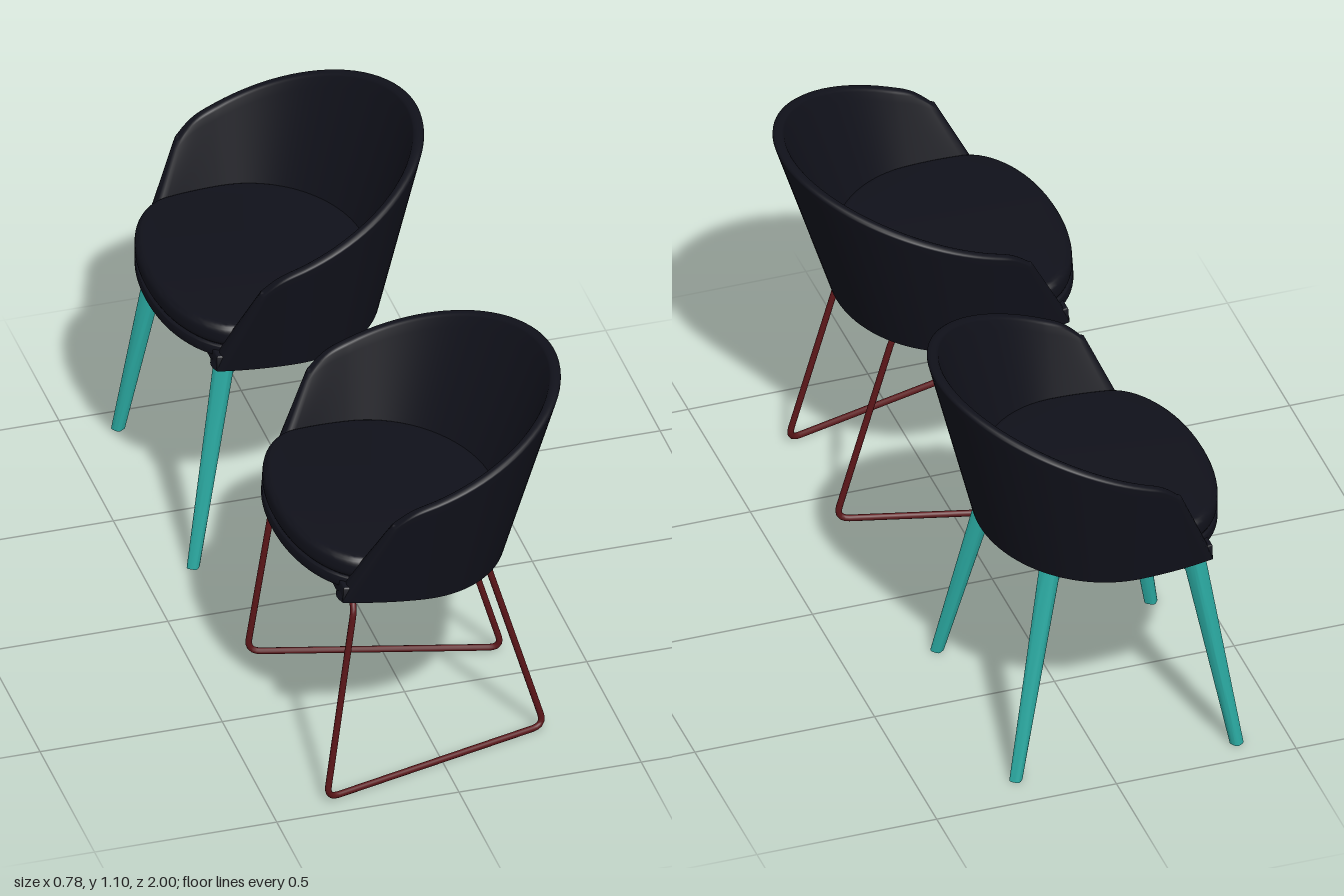
import * as THREE from 'three';
import { toCreasedNormals } from 'three/addons/utils/BufferGeometryUtils.js';

const fabric = new THREE.MeshStandardMaterial({ color: 0x10111a, side: THREE.DoubleSide });
const teal = new THREE.MeshStandardMaterial({ color: 0x2aa8a0 });
const red = new THREE.MeshStandardMaterial({ color: 0x5a1518 });
const BASE = 0.605, CX = -0.08;
const lerp = THREE.MathUtils.lerp;

function mesh(name, geometry, material) {
  const m = new THREE.Mesh(geometry, material);
  m.name = name;
  return m;
}

// Point on the shell: p runs from the back (0) to the front edge (±1), h is height, inset goes inwards
function shellPoint(p, h, inset) {
  const q = Math.abs(p), w = 0.37 + 0.08 * h;
  let x, z;
  if (q < 0.7) {
    const phi = (q / 0.7) * Math.PI / 2;
    x = CX + (0.315 + 0.125 * h - inset) * Math.cos(phi);
    z = (w - inset) * Math.sin(phi);
  } else {
    x = lerp(CX, -0.295 + 0.22 * h, (q - 0.7) / 0.3);
    z = w * (1 - 1.46 * (CX - x) ** 2) - inset;
  }
  return [x, BASE + 0.5 * h, Math.sign(p) * z];
}

// Height of the sloping rim, rounded off towards the arm fronts
function rimHeight(p) {
  let h = 0.8;
  for (let i = 0; i < 12; i++) h = (1.105 - 0.4 * (0.36 - shellPoint(p, h, 0)[0]) - BASE) / 0.5;
  const t = Math.max(0, (Math.abs(p) - 0.7) / 0.3);
  return h - 0.06 * t ** 5;
}

// Wrap-around back and arms: outer face, rounded rim and inner face in one sheet
function shellGeometry() {
  const n = 72, rows = 14, arc = 6, pos = [], idx = [];
  const ps = [];
  for (let i = 0; i <= n; i++) ps.push(-1 + (2 * i) / n);
  const columns = [[-1, 1], [-1, 0.5], ...ps.map(p => [p, 0]), [1, 0.5], [1, 1]];
  for (const [p, close] of columns) {
    const H = rimHeight(p) - 0.02;
    const section = [];
    const thick = h => lerp(0.062, 0.03, h / H);
    for (let j = 0; j < rows; j++) section.push([H * j / rows, 0, thick(H * j / rows)]);
    for (let j = 0; j <= arc; j++) {
      const a = Math.PI * j / arc;
      section.push([H + 0.02 * Math.sin(a), 0.5 - 0.5 * Math.cos(a), 0.03]);
    }
    for (let j = rows - 1; j >= 0; j--) section.push([H * j / rows, 1, thick(H * j / rows)]);
    for (const [h, k, d] of section) {
      const pt = shellPoint(p, h, d * lerp(k, 0.5, close));
      pt[0] -= 0.008 * Math.sqrt(close);
      pos.push(...pt);
    }
  }
  const m = 2 * rows + arc + 1;
  for (let c = 0; c < columns.length - 1; c++) {
    for (let r = 0; r < m - 1; r++) {
      const a = c * m + r, b = a + m;
      idx.push(a, a + 1, b, b, a + 1, b + 1);
    }
  }
  const g = new THREE.BufferGeometry();
  g.setAttribute('position', new THREE.Float32BufferAttribute(pos, 3));
  g.setIndex(idx);
  g.computeVertexNormals();
  return g;
}

// Horizontal padded slab from a plan shape (x, z)
function slab(shape, top, height, bevel) {
  const g = new THREE.ExtrudeGeometry(shape, {
    depth: height - 2 * bevel, bevelEnabled: bevel > 0, bevelSize: bevel,
    bevelThickness: bevel, bevelOffset: -bevel, bevelSegments: 5, curveSegments: 16
  });
  g.rotateX(Math.PI / 2).translate(0, top - bevel, 0);
  return toCreasedNormals(g, 0.7);
}

// Plan outline following the shell, up to a given front station
function planShape(h, inset, end, closeFront) {
  const s = new THREE.Shape();
  for (let i = 0; i <= 48; i++) {
    const [x, , z] = shellPoint(end * (-1 + i / 24), h, inset);
    if (i) s.lineTo(x, z); else s.moveTo(x, z);
  }
  if (closeFront) closeFront(s);
  s.closePath();
  return s;
}

function upholstery() {
  const g = new THREE.Group();
  g.name = 'upholstery';
  g.add(mesh('shell', shellGeometry(), fabric));
  g.add(mesh('seatBase', slab(planShape(0, 0.002, 1), 0.65, 0.046, 0.004), fabric));
  const bowedFront = s => {
    const { x, y } = s.currentPoint;
    s.bezierCurveTo(x - 0.075, y - 0.015, -0.39, 0.2, -0.39, 0);
    s.bezierCurveTo(-0.39, -0.2, x - 0.075, -y + 0.015, x, -y);
  };
  const plan = planShape(0.2, 0.038, 0.98, bowedFront);
  g.add(mesh('cushionBase', slab(plan, 0.664, 0.034, 0.007), fabric));
  g.add(mesh('cushion', slab(plan, 0.724, 0.064, 0.024), fabric));
  return g;
}

// Tube through corner points with rounded bends
function bentTube(points, bend, radius) {
  const path = new THREE.CurvePath();
  const v = points.map(p => new THREE.Vector3(...p));
  let from = v[0];
  for (let i = 1; i < v.length - 1; i++) {
    const a = v[i].clone().add(v[i - 1].clone().sub(v[i]).setLength(bend));
    const b = v[i].clone().add(v[i + 1].clone().sub(v[i]).setLength(bend));
    path.add(new THREE.LineCurve3(from, a));
    path.add(new THREE.QuadraticBezierCurve3(a, v[i], b));
    from = b;
  }
  path.add(new THREE.LineCurve3(from, v[v.length - 1]));
  return new THREE.TubeGeometry(path, 240, radius, 10);
}

// Wire frame: one front bar, splayed runners and rear legs returning to the bar
function sledFrame() {
  const g = new THREE.Group();
  g.name = 'sledFrame';
  for (const s of [-1, 1]) {
    g.add(mesh('runner', bentTube([
      [-0.263, 0.596, 0], [-0.263, 0.596, 0.345 * s], [-0.346, 0.014, 0.367 * s],
      [0.303, 0.014, 0.193 * s], [0.14, 0.57, 0.193 * s], [-0.263, 0.596, 0.193 * s]
    ], 0.038, 0.0088), red));
  }
  return g;
}

// Tapered leg with a soft square section, sheared so the foot stays level
function legGeometry(foot, top, angle) {
  const height = 0.598;
  const g = new THREE.CylinderGeometry(1, 1, height, 28, 6);
  const p = g.attributes.position;
  const soft = c => Math.sign(c) * Math.abs(c) ** 0.6;
  for (let i = 0; i < p.count; i++) {
    const t = p.getY(i) / height + 0.5, r = lerp(0.016, 0.027, t);
    const x = soft(p.getX(i)) * r, z = soft(p.getZ(i)) * r;
    p.setXYZ(i,
      lerp(foot[0], top[0], t) + x * Math.cos(angle) - z * Math.sin(angle),
      0.004 + t * height,
      lerp(foot[1], top[1], t) + x * Math.sin(angle) + z * Math.cos(angle));
  }
  return toCreasedNormals(g.toNonIndexed(), 0.8);
}

// Four legs joined by a star-shaped brace that flares at its hub
function legFrame() {
  const g = new THREE.Group();
  g.name = 'legFrame';
  const hub = new THREE.Vector2(-0.065, 0);
  const legs = [
    { foot: [0.243, 0.317], top: [0.115, 0.225] }, { foot: [-0.361, 0.345], top: [-0.258, 0.288] },
    { foot: [-0.361, -0.345], top: [-0.258, -0.288] }, { foot: [0.243, -0.317], top: [0.115, -0.225] }
  ];
  const star = new THREE.Shape();
  legs.forEach(({ foot, top }, i) => {
    const end = new THREE.Vector2(...top), dir = end.clone().sub(hub).normalize();
    const side = new THREE.Vector2(-dir.y, dir.x).multiplyScalar(0.017);
    const a = end.clone().sub(side), b = end.clone().add(side);
    const nearA = hub.clone().addScaledVector(dir, 0.09).sub(side);
    const nearB = hub.clone().addScaledVector(dir, 0.09).add(side);
    if (i) star.quadraticCurveTo(...hub.clone().add(nearA).multiplyScalar(0.5).toArray(), nearA.x, nearA.y);
    else star.moveTo(nearA.x, nearA.y);
    star.lineTo(a.x, a.y);
    star.lineTo(b.x, b.y);
    star.lineTo(nearB.x, nearB.y);
    g.add(mesh('leg', legGeometry(foot, top, Math.atan2(dir.y, dir.x)), teal));
  });
  star.closePath();
  g.add(mesh('brace', slab(star, 0.603, 0.055, 0), teal));
  return g;
}

export function createModel() {
  const model = new THREE.Group();

  // Chair on a wire sled, its upholstery leaning slightly back
  const sledChair = new THREE.Group();
  sledChair.name = 'sledChair';
  const pivot = new THREE.Group();
  pivot.name = 'tiltedSeat';
  const seat = upholstery();
  seat.position.set(0.27, -0.607, 0);
  pivot.position.set(-0.27, 0.607, 0);
  pivot.rotation.z = -0.066;
  pivot.add(seat);
  sledChair.add(pivot, sledFrame());
  sledChair.position.z = 0.577;

  // Level chair on four tapered legs
  const legChair = new THREE.Group();
  legChair.name = 'fourLegChair';
  legChair.add(upholstery(), legFrame());
  legChair.position.z = -0.577;

  model.add(sledChair, legChair);
  return model;
}
